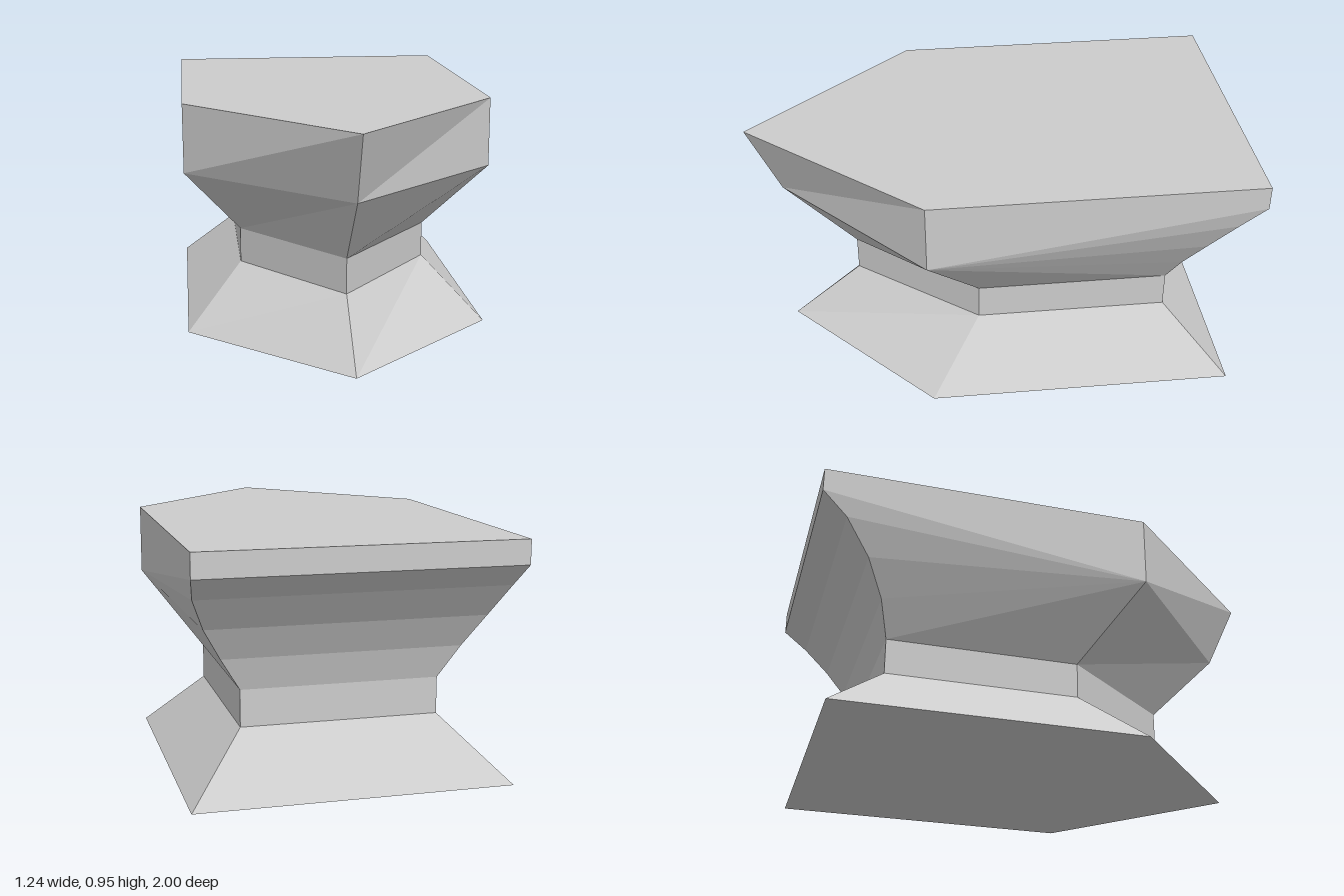
import * as THREE from 'three';

const stone = new THREE.MeshStandardMaterial({ color: 0xcccccc });
stone.name = 'light grey';

// Right half of a five-sided outline: nose, shoulder, back corner, back centre
const ring = (y, nose, halfWidth, shoulder, back) => [
  [0, y, nose], [halfWidth, y, shoulder], [halfWidth, y, back], [0, y, back],
];

// Faces joining two half outlines
const walls = (low, high) =>
  [0, 1, 2].map(i => [low[i], low[i + 1], high[i + 1], high[i]]);

// Flat-faced mesh from polygons of the +x half, mirrored to the -x half
function mirroredMesh(name, polygons) {
  const positions = [];
  const addFan = p => {
    for (let i = 1; i < p.length - 1; i++) positions.push(...p[0], ...p[i], ...p[i + 1]);
  };
  for (const polygon of polygons) {
    addFan(polygon);
    addFan(polygon.map(([x, y, z]) => [-x, y, z]).reverse());
  }
  const geometry = new THREE.BufferGeometry();
  geometry.setAttribute('position', new THREE.Float32BufferAttribute(positions, 3));
  geometry.computeVertexNormals();
  const mesh = new THREE.Mesh(geometry, stone);
  mesh.name = name;
  return mesh;
}

export function createModel() {
  const group = new THREE.Group();
  group.name = 'pointedPedestal';

  const foot = ring(0, 0.87, 0.62, 0.3, -0.93);
  const waistLow = ring(0.235, 0.58, 0.39, 0.09, -0.69);
  const waistHigh = ring(0.38, 0.58, 0.39, 0.09, -0.69);
  const top = ring(0.955, 1, 0.62, 0.31, -1);

  // Flared base and straight waist
  group.add(mirroredMesh('base', [...walls(foot, waistLow), [...foot].reverse()]));
  group.add(mirroredMesh('waist', walls(waistLow, waistHigh)));

  // Upper body: pointed front, and sides fanning from the shoulder to a curved back edge
  const nose = [0, 0.675, 0.87];
  const shoulder = [0.62, 0.675, 0.31];
  const backEdge = [
    waistHigh[2], [0.47, 0.51, -0.73], [0.545, 0.64, -0.8],
    [0.6, 0.77, -0.9], [0.62, 0.86, -1], top[2],
  ];
  const faces = [
    [waistHigh[0], waistHigh[1], shoulder, nose],
    [nose, shoulder, top[1], top[0]],
    [waistHigh[1], waistHigh[2], shoulder],
    [shoulder, top[2], top[1]],
    top,
  ];
  for (let i = 0; i < backEdge.length - 1; i++) {
    const a = backEdge[i], b = backEdge[i + 1];
    faces.push([shoulder, a, b]);
    faces.push([a, [0, a[1], a[2]], [0, b[1], b[2]], b]);
  }
  group.add(mirroredMesh('upperBody', faces));

  return group;
}
